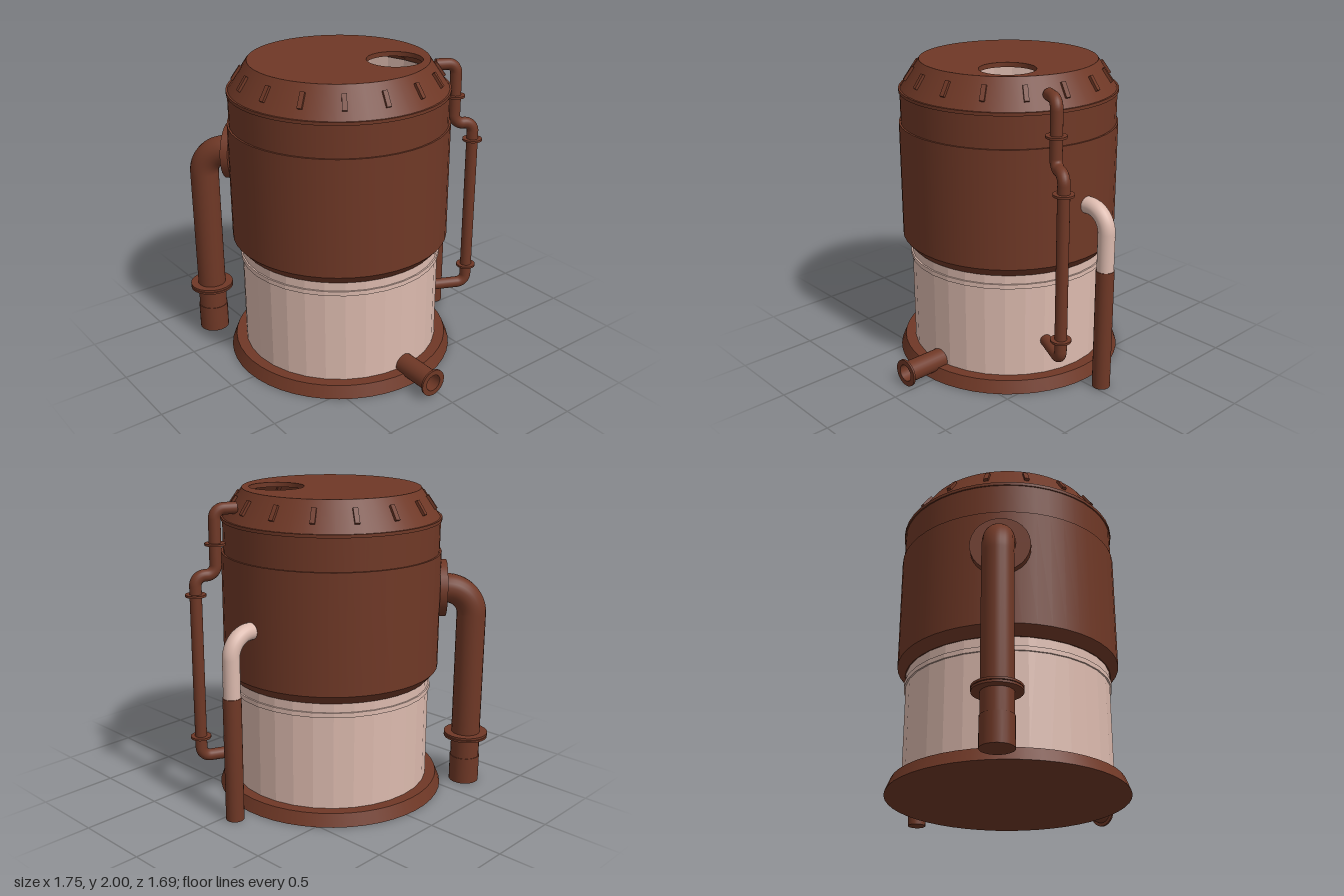
import * as THREE from 'three';

const brown = new THREE.MeshStandardMaterial({ color: 0x6f3826 });
brown.name = 'rust brown';
const brownShell = new THREE.MeshStandardMaterial({ color: 0x6f3826, side: THREE.DoubleSide });
brownShell.name = 'rust brown shell';
const pale = new THREE.MeshStandardMaterial({ color: 0xdcbaae, side: THREE.DoubleSide, flatShading: true });
pale.name = 'pale pink panels';
const palePipe = new THREE.MeshStandardMaterial({ color: 0xdcbaae });
palePipe.name = 'pale pink pipe';

const V = (x, y, z) => new THREE.Vector3(x, y, z);

function add(parent, name, geometry, material, position = V(0, 0, 0)) {
  const mesh = new THREE.Mesh(geometry, material);
  mesh.name = name;
  mesh.position.copy(position);
  parent.add(mesh);
  return mesh;
}

// Revolved profile, one lathe per straight run so the edges stay crisp
function turned(parent, name, profile, material, segments) {
  const group = new THREE.Group();
  group.name = name;
  for (let i = 1; i < profile.length; i++) {
    const pair = [profile[i - 1], profile[i]].map(([r, y]) => new THREE.Vector2(r, y));
    add(group, name + 'Band' + i, new THREE.LatheGeometry(pair, segments), material);
  }
  parent.add(group);
  return group;
}

// Round pipe through corner points, with rounded bends and capped ends
function pipe(parent, name, points, radius, bend, material, segments = 120) {
  const group = new THREE.Group();
  group.name = name;
  const path = new THREE.CurvePath();
  let from = points[0];
  for (let i = 1; i < points.length - 1; i++) {
    const p = points[i];
    const a = p.clone().add(points[i - 1].clone().sub(p).setLength(bend));
    const b = p.clone().add(points[i + 1].clone().sub(p).setLength(bend));
    // Cubic handles close to a true quarter circle
    path.add(new THREE.LineCurve3(from, a));
    path.add(new THREE.CubicBezierCurve3(a, a.clone().lerp(p, 0.55), b.clone().lerp(p, 0.55), b));
    from = b;
  }
  const last = points[points.length - 1];
  path.add(new THREE.LineCurve3(from, last));
  add(group, name + 'Run', new THREE.TubeGeometry(path, segments, radius, 20), material);
  for (const [end, next] of [[points[0], points[1]], [last, points[points.length - 2]]]) {
    const cap = add(group, name + 'Cap', new THREE.CircleGeometry(radius, 20), material, end);
    cap.quaternion.setFromUnitVectors(V(0, 0, 1), end.clone().sub(next).normalize());
  }
  parent.add(group);
  return group;
}

function flange(parent, name, radius, thickness, position, axis = V(0, 1, 0)) {
  const mesh = add(parent, name, new THREE.CylinderGeometry(radius, radius, thickness, 28), brown, position);
  mesh.quaternion.setFromUnitVectors(V(0, 1, 0), axis);
}

export function createModel() {
  const model = new THREE.Group();
  model.name = 'storageTank';

  const tank = new THREE.Group();
  tank.name = 'tank';
  tank.position.set(-0.055, 0, 0.085);
  model.add(tank);

  // Foot, pale lower wall (runs up inside the jacket) and its hoop
  turned(tank, 'base', [[0, 0], [0.75, 0], [0.718, 0.08], [0, 0.08]], brown, 48);
  add(tank, 'innerWall', new THREE.CylinderGeometry(0.65, 0.65, 1.77, 32, 1, true), pale, V(0, 0.965, 0));
  turned(tank, 'wallHoop', [[0.65, 0.69], [0.66, 0.69], [0.66, 0.72], [0.65, 0.72]], pale, 32);

  // Brown jacket, collar and sloping shoulder
  turned(tank, 'jacket', [
    [0.64, 0.78], [0.655, 0.78], [0.706, 0.84], [0.706, 1.6], [0.694, 1.6], [0.694, 1.8],
    [0.702, 1.8], [0.702, 1.82], [0.69, 1.82], [0.567, 2],
  ], brownShell, 48);

  // Top deck with manhole
  const deck = new THREE.Shape().absarc(0, 0, 0.567, 0, Math.PI * 2);
  deck.holes.push(new THREE.Path().absarc(0.24, 0.25, 0.175, 0, Math.PI * 2, true));
  const deckGeometry = new THREE.ExtrudeGeometry(deck, { depth: 0.03, bevelEnabled: false, curveSegments: 48 });
  deckGeometry.rotateX(-Math.PI / 2);
  add(tank, 'topDeck', deckGeometry, brown, V(0, 1.97, 0));

  // Sixteen cleats around the shoulder
  const slope = Math.atan2(0.123, 0.18);
  for (let i = 0; i < 16; i++) {
    const spoke = new THREE.Group();
    spoke.name = 'shoulderCleat';
    spoke.rotation.y = ((i + 0.5) / 16) * Math.PI * 2;
    const cleat = add(spoke, 'cleat', new THREE.BoxGeometry(0.03, 0.1, 0.03), brown, V(0, 1.912, 0.628));
    cleat.rotation.x = -slope;
    tank.add(spoke);
  }

  // Large feed pipe at the front
  const inward = V(0.742, 0, -0.671);
  const foot = V(-0.735, 0, 0.7);
  const along = (d, y) => foot.clone().addScaledVector(inward, d).setY(y);
  pipe(model, 'feedPipe', [foot, along(0, 1.345), along(0.28, 1.345)], 0.095, 0.17, brown);
  add(model, 'feedPipeSleeve', new THREE.CylinderGeometry(0.099, 0.099, 0.18, 24), brown, along(0, 0.09));
  flange(model, 'feedFlangeLower', 0.145, 0.014, along(0, 0.324));
  flange(model, 'feedFlangeUpper', 0.145, 0.014, along(0, 0.342));
  flange(model, 'feedWallPlate', 0.185, 0.05, along(0.2, 1.345), inward);

  // Hollow drain spout on the left side
  const drain = turned(model, 'drainSpout', [
    [0, 0.1], [0.055, 0.1], [0.055, 0.335], [0.09, 0.335], [0.09, 0.322], [0.068, 0.322], [0.068, 0],
  ].reverse(), brownShell, 24);
  drain.rotation.z = -Math.PI / 2;
  drain.position.set(0.54, 0.1, 0.052);

  // Overflow pipe at the back: pale elbow above a brown drop
  pipe(model, 'overflowElbow', [V(-0.055, 1.195, -0.58), V(-0.055, 1.195, -0.785), V(-0.055, 0.79, -0.785)],
    0.054, 0.14, palePipe, 60);
  add(model, 'overflowDrop', new THREE.CylinderGeometry(0.058, 0.058, 0.81, 20), brown, V(-0.055, 0.405, -0.785));

  // Slim stepped vent pipe with couplings
  pipe(model, 'ventPipe', [
    V(0.18, 1.905, -0.51), V(0.24, 1.905, -0.635), V(0.24, 1.5, -0.635),
    V(0.295, 1.5, -0.755), V(0.295, 0.31, -0.755), V(0.18, 0.31, -0.51),
  ], 0.038, 0.06, brown, 200);
  flange(model, 'ventCouplingTop', 0.065, 0.014, V(0.24, 1.69, -0.635));
  flange(model, 'ventCouplingMiddle', 0.065, 0.014, V(0.295, 1.38, -0.755));
  flange(model, 'ventCouplingLow', 0.065, 0.014, V(0.295, 0.445, -0.755));

  return model;
}
